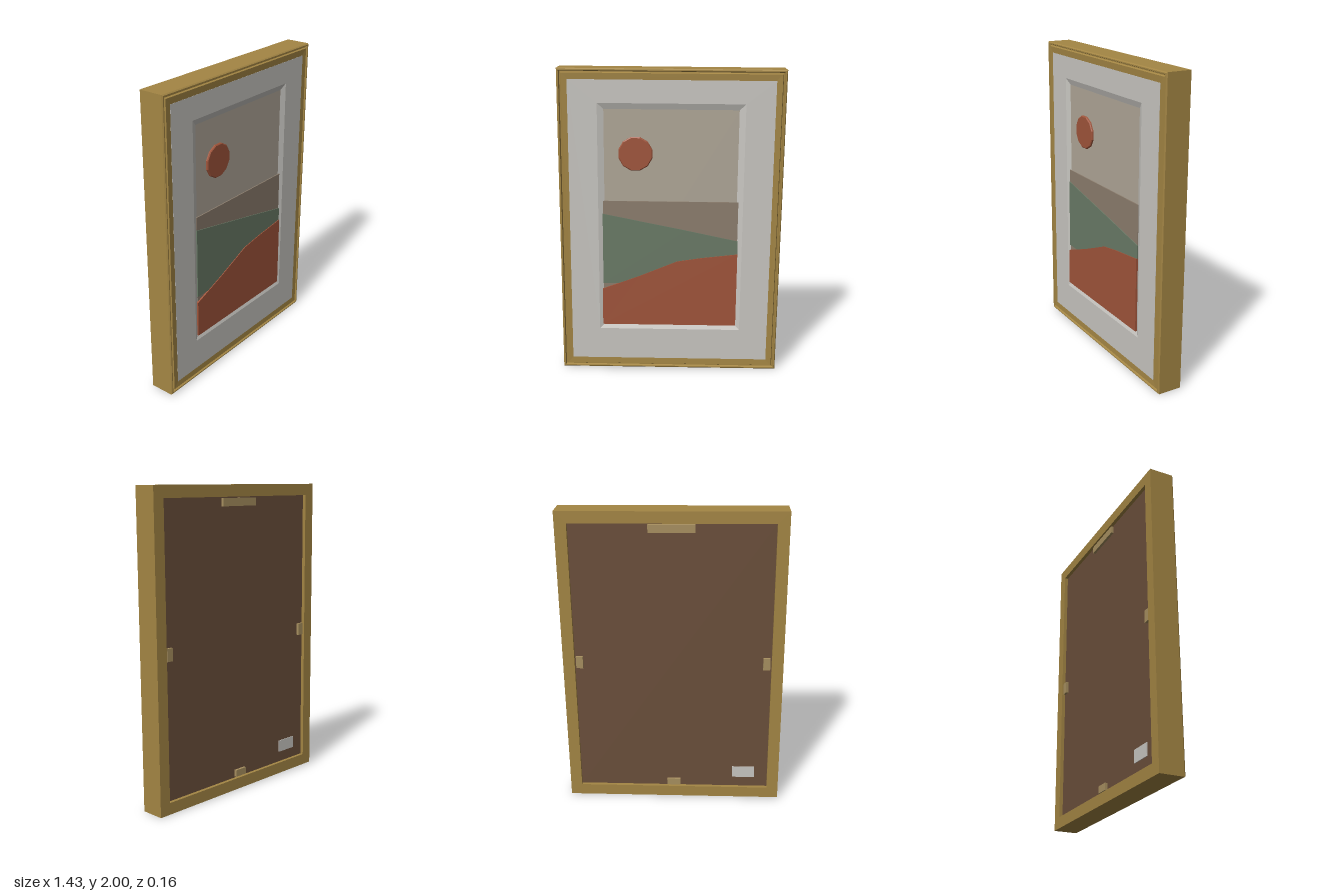
import * as THREE from 'three';

const W = 1.418, H = 1.986, TILT = -0.0085;
const GOLD = 0xa48644, CREAM = 0xb0a798, RED = 0xa1553b, GREEN = 0x6a7b67;
const TAUPE = 0x8d7e6e, BROWN = 0x6b4f3b, MAT = 0xc9c7c2, BRASS = 0xa89060;

function addMesh(group, name, geometry, color, x = 0, y = 0, z = 0) {
  const material = new THREE.MeshStandardMaterial({ color, flatShading: true });
  const mesh = new THREE.Mesh(geometry, material);
  mesh.name = name;
  mesh.position.set(x, y, z);
  group.add(mesh);
  return mesh;
}

// Mitred ring: each section is a rectangle [halfWidth, halfHeight, centreY, z]
function ringGeometry(sections, closed) {
  const corners = [[-1, -1], [1, -1], [1, 1], [-1, 1]];
  const at = ([hw, hh, cy, z], [sx, sy]) => [sx * hw, cy + sy * hh, z];
  const pos = [];
  const count = closed ? sections.length : sections.length - 1;
  for (let s = 0; s < count; s++) {
    const p = sections[s], q = sections[(s + 1) % sections.length];
    for (let i = 0; i < 4; i++) {
      const a = corners[i], b = corners[(i + 1) % 4];
      pos.push(...at(p, a), ...at(p, b), ...at(q, b));
      pos.push(...at(p, a), ...at(q, b), ...at(q, a));
    }
  }
  const geometry = new THREE.BufferGeometry();
  geometry.setAttribute('position', new THREE.Float32BufferAttribute(pos, 3));
  geometry.computeVertexNormals();
  return geometry;
}

// Flat cut-out shape from outline points, front face at zFront
function cutout(points, zBack, zFront) {
  const shape = new THREE.Shape(points.map(([x, y]) => new THREE.Vector2(x, y)));
  const geometry = new THREE.ExtrudeGeometry(shape, { depth: zFront - zBack, bevelEnabled: false });
  return geometry.translate(0, 0, zBack);
}

export function createModel() {
  const model = new THREE.Group();
  model.name = 'framedPicture';
  const picture = new THREE.Group();
  picture.name = 'tiltedPicture';
  picture.position.y = 1;
  picture.rotation.z = TILT;
  model.add(picture);

  // Moulded frame: profile of [inset from outer edge, z], back outer to back inner
  const profile = [
    [0, -0.083], [0, 0.074], [0.006, 0.081], [0.013, 0.081], [0.018, 0.069],
    [0.023, 0.069], [0.028, 0.079], [0.068, 0.077], [0.075, 0.06], [0.075, -0.083],
  ];
  const sections = profile.map(([inset, z]) => [W / 2 - inset, H / 2 - inset, 0, z]);
  addMesh(picture, 'frame', ringGeometry(sections, true), GOLD);

  // Mat with a gently sloped window
  const mat = [
    [0.645, 0.925, 0, 0.06], [0.645, 0.925, 0, 0.078],
    [0.462, 0.748, 0.033, 0.078], [0.42, 0.707, 0.033, 0.063],
  ];
  addMesh(picture, 'mat', ringGeometry(mat, false), MAT);

  // Layered artwork
  addMesh(picture, 'sky', new THREE.BoxGeometry(0.86, 1.43, 0.02), CREAM, 0, 0.033, 0.054);
  addMesh(picture, 'farHill', cutout([
    [-0.432, -0.5], [0.432, -0.5], [0.432, 0.156], [-0.432, 0.156],
  ], 0.055, 0.071), TAUPE);
  addMesh(picture, 'middleHill', cutout([
    [-0.435, -0.396], [0.435, -0.396], [0.435, -0.102], [0.1, -0.033], [-0.435, 0.072],
  ], 0.055, 0.076), GREEN);
  addMesh(picture, 'nearHill', cutout([
    [-0.44, -0.683], [0.435, -0.683], [0.435, -0.189], [0.2, -0.217],
    [0.045, -0.242], [-0.2, -0.345], [-0.44, -0.436],
  ], 0.055, 0.081), RED);

  // Sun disc with a narrow bevelled rim
  const sunProfile = [[0, 0], [0.11, 0], [0.11, 0.01], [0.104, 0.015], [0, 0.015]]
    .map(([r, y]) => new THREE.Vector2(r, y));
  const sun = addMesh(picture, 'sun', new THREE.LatheGeometry(sunProfile, 12, Math.PI / 12),
    RED, -0.224, 0.463, 0.062);
  sun.rotation.x = Math.PI / 2;

  // Backing board and its fittings
  addMesh(picture, 'backingBoard', new THREE.BoxGeometry(1.29, 1.87, 0.03), BROWN, 0, 0, -0.045);
  addMesh(picture, 'hanger', new THREE.BoxGeometry(0.29, 0.05, 0.02), BRASS, 0, 0.885, -0.067);
  addMesh(picture, 'bottomClip', new THREE.BoxGeometry(0.09, 0.045, 0.02), BRASS, 0, -0.887, -0.067);
  for (const side of [-1, 1]) {
    addMesh(picture, side > 0 ? 'leftClip' : 'rightClip',
      new THREE.BoxGeometry(0.045, 0.08, 0.02), BRASS, side * 0.603, 0, -0.067);
  }
  addMesh(picture, 'backLabel', new THREE.BoxGeometry(0.15, 0.08, 0.006), MAT, -0.472, -0.807, -0.062);

  return model;
}
